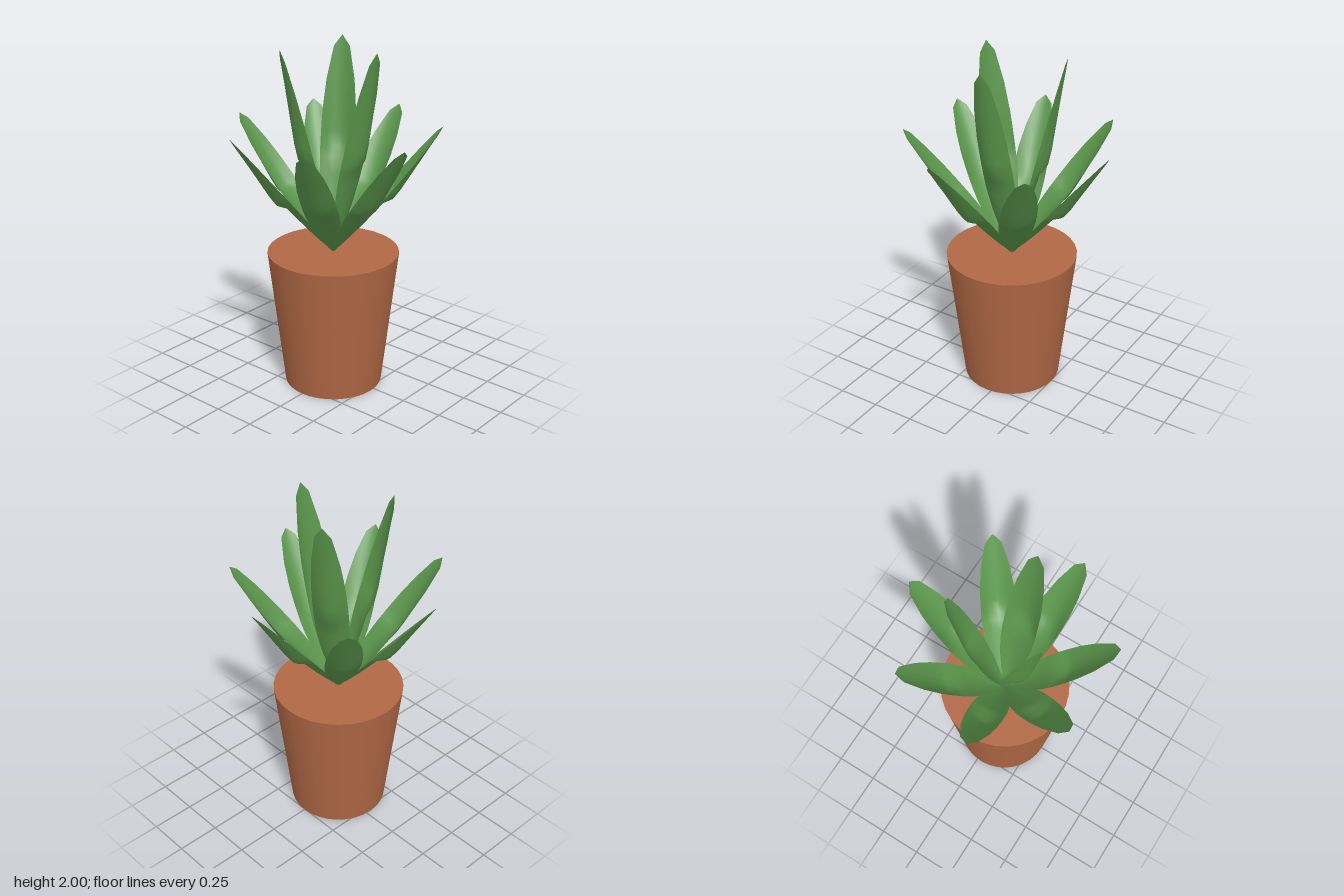
import * as THREE from 'three';

const CENTER_Z = 0.03;
const BASE_Y = 0.81;

// Leaf stations from base to tip: [fraction of length, half width, depth of keel]
const STATIONS = [
  [0, 0.012, 0.002], [0.12, 0.048, 0.014], [0.24, 0.08, 0.022], [0.36, 0.097, 0.026],
  [0.44, 0.101, 0.028], [0.49, 0.101, 0.058], [0.56, 0.1, 0.055], [0.66, 0.096, 0.042],
  [0.8, 0.08, 0.024], [0.95, 0.046, 0.006], [1, 0.002, 0],
];

// Cupped blade leaning out along +z, with the keel swelling on its underside
function leafGeometry(reach, height) {
  const columns = 6;
  const geometry = new THREE.PlaneGeometry(2, 1, columns, STATIONS.length - 1);
  const position = geometry.attributes.position;
  const length = Math.hypot(reach, height);
  for (let i = 0; i < position.count; i++) {
    const row = STATIONS.length - 1 - Math.floor(i / (columns + 1));
    const [t, halfWidth, keel] = STATIONS[row];
    const u = position.getX(i);
    const depth = keel * (1 - u * u);
    position.setXYZ(
      i,
      halfWidth * u,
      height * t - (depth * reach) / length,
      reach * t + (depth * height) / length,
    );
  }
  geometry.computeVertexNormals();
  return geometry;
}

export function createModel() {
  const model = new THREE.Group();
  model.name = 'pottedPlant';

  const terracotta = new THREE.MeshStandardMaterial({ color: 0xb06845 });
  terracotta.name = 'terracotta';
  const leafGreen = new THREE.MeshStandardMaterial({ color: 0x5a954b, side: THREE.DoubleSide });
  leafGreen.name = 'leafGreen';

  // Tapered pot with a closed top
  const pot = new THREE.Mesh(new THREE.CylinderGeometry(0.378, 0.284, 0.815, 32), terracotta);
  pot.name = 'pot';
  pot.position.set(0, 0.4075, CENTER_Z);
  model.add(pot);

  // A ring of leaves fanned evenly around the pot's axis
  function addRing(name, count, startAngle, reach, height) {
    const ring = new THREE.Group();
    ring.name = name;
    ring.position.set(0, BASE_Y, CENTER_Z);
    const geometry = leafGeometry(reach, height);
    for (let i = 0; i < count; i++) {
      const leaf = new THREE.Mesh(geometry, leafGreen);
      leaf.name = 'leaf';
      leaf.rotation.y = startAngle + (i / count) * Math.PI * 2;
      ring.add(leaf);
    }
    model.add(ring);
  }

  addRing('outerLeaves', 7, Math.PI, 0.605, 0.745);
  addRing('innerLeaves', 3, Math.PI / 2, 0.3, 1.19);

  return model;
}
